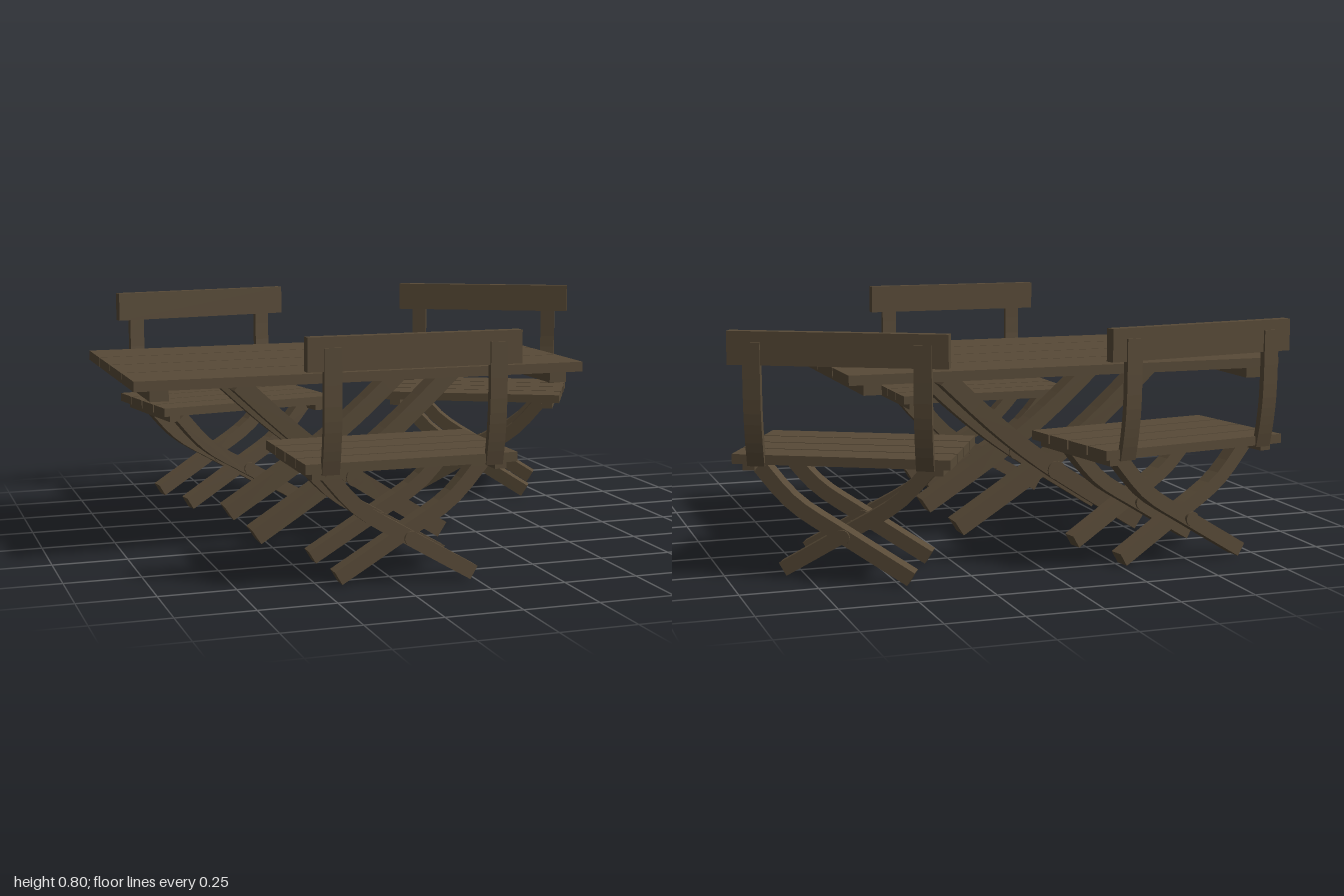
import * as THREE from 'three';

const wood = new THREE.MeshStandardMaterial({ color: 0x584a37 });
wood.name = 'dark stained wood';

function add(parent, name, geometry, x = 0, y = 0, z = 0) {
  const mesh = new THREE.Mesh(geometry, wood);
  mesh.name = name;
  mesh.position.set(x, y, z);
  parent.add(mesh);
  return mesh;
}

// Box given by its lower and upper limits on each axis
function board(parent, name, [x0, x1], [y0, y1], [z0, z1]) {
  return add(parent, name, new THREE.BoxGeometry(x1 - x0, y1 - y0, z1 - z0),
    (x0 + x1) / 2, (y0 + y1) / 2, (z0 + z1) / 2);
}

// Bar of constant width that follows a curve in the xy plane, centred on z
function curvedBar(points, width, depth, segments = 10) {
  const curve = new THREE.SplineCurve(points.map(([x, y]) => new THREE.Vector2(x, y)));
  const sideA = [], sideB = [];
  for (let i = 0; i <= segments; i++) {
    const p = curve.getPoint(i / segments);
    const t = curve.getTangent(i / segments);
    const n = new THREE.Vector2(-t.y, t.x).multiplyScalar(width / 2);
    sideA.push(p.clone().add(n));
    sideB.unshift(p.clone().sub(n));
  }
  const shape = new THREE.Shape([...sideA, ...sideB]);
  const geometry = new THREE.ExtrudeGeometry(shape, { depth, bevelEnabled: false });
  return geometry.translate(0, 0, -depth / 2);
}

// Row of planks laid side by side along z
function planks(parent, name, count, xs, ys, [z0, z1], gap) {
  const pitch = (z1 - z0 + gap) / count;
  for (let i = 0; i < count; i++) {
    const start = z0 + i * pitch;
    board(parent, name, xs, ys, [start, start + pitch - gap]);
  }
}

// Two crossing curved legs held together by a pin with flared heads
function crossedLegs(parent, path, width, depth, z, pinY, pinRadius) {
  const pair = new THREE.Group();
  pair.name = 'crossedLegs';
  pair.position.z = z;
  parent.add(pair);
  const offset = depth / 2 + 0.004;
  add(pair, 'legDownLeft', curvedBar(path, width, depth), 0, 0, offset);
  const mirrored = path.map(([x, y]) => [-x, y]).reverse();
  add(pair, 'legDownRight', curvedBar(mirrored, width, depth), 0, 0, -offset);
  const half = depth + 0.022;
  add(pair, 'pivotPin', new THREE.CylinderGeometry(pinRadius * 0.75, pinRadius * 0.75, half * 2, 16)
    .rotateX(Math.PI / 2), 0, pinY);
  for (const s of [-1, 1]) {
    add(pair, 'pinHead', new THREE.CylinderGeometry(pinRadius, pinRadius, 0.007, 16)
      .rotateX(Math.PI / 2), 0, pinY, s * (half - 0.0035));
  }
}

function createTable() {
  const table = new THREE.Group();
  table.name = 'table';
  planks(table, 'tablePlank', 4, [-0.785, 0.785], [0.587, 0.621], [-0.443, 0.443], 0.008);
  for (const x of [-0.7, 0.7]) {
    board(table, 'tableBatten', [x - 0.031, x + 0.031], [0.55, 0.587], [-0.425, 0.425]);
  }
  const path = [[-0.4, 0.575], [-0.2, 0.39], [0, 0.235], [0.325, 0.025]];
  for (const z of [0.2, -0.2]) crossedLegs(table, path, 0.06, 0.083, z, 0.235, 0.033);
  return table;
}

// Chair with its origin on the rear face of the backrest; the back points to +z
function createChair() {
  const chair = new THREE.Group();
  chair.name = 'chair';
  planks(chair, 'seatPlank', 4, [-0.347, 0.347], [0.378, 0.409], [-0.492, -0.03], 0.009);
  board(chair, 'backrest', [-0.347, 0.347], [0.693, 0.798], [-0.036, 0]);

  for (const s of [-1, 1]) {
    board(chair, 'seatBatten', [s * 0.3 - 0.02, s * 0.3 + 0.02], [0.354, 0.378], [-0.475, -0.052]);
    // Bent uprights that carry the backrest
    const post = curvedBar([[-0.036, 0.375], [-0.018, 0.46], [-0.006, 0.57], [-0.004, 0.765]], 0.021, 0.056)
      .rotateY(-Math.PI / 2);
    add(chair, 'backUpright', post, s * 0.268);
  }

  const path = [[-0.268, 0.368], [-0.16, 0.25], [0, 0.15], [0.215, 0.022]];
  for (const z of [-0.117, -0.408]) crossedLegs(chair, path, 0.048, 0.054, z, 0.152, 0.024);
  return chair;
}

export function createModel() {
  const set = new THREE.Group();
  set.name = 'gardenTableAndChairs';

  const table = createTable();
  table.position.set(-0.215, 0, -0.008);
  set.add(table);

  // x, z and turn of each chair
  const places = [
    ['frontChair', -0.222, 0.93, 0],
    ['rearRightChair', -0.492, -0.881, Math.PI + 0.174],
    ['rearLeftChair', 0.69, -0.772, Math.PI - 0.488],
  ];
  for (const [name, x, z, turn] of places) {
    const chair = createChair();
    chair.name = name;
    chair.position.set(x, 0, z);
    chair.rotation.y = turn;
    set.add(chair);
  }
  return set;
}
